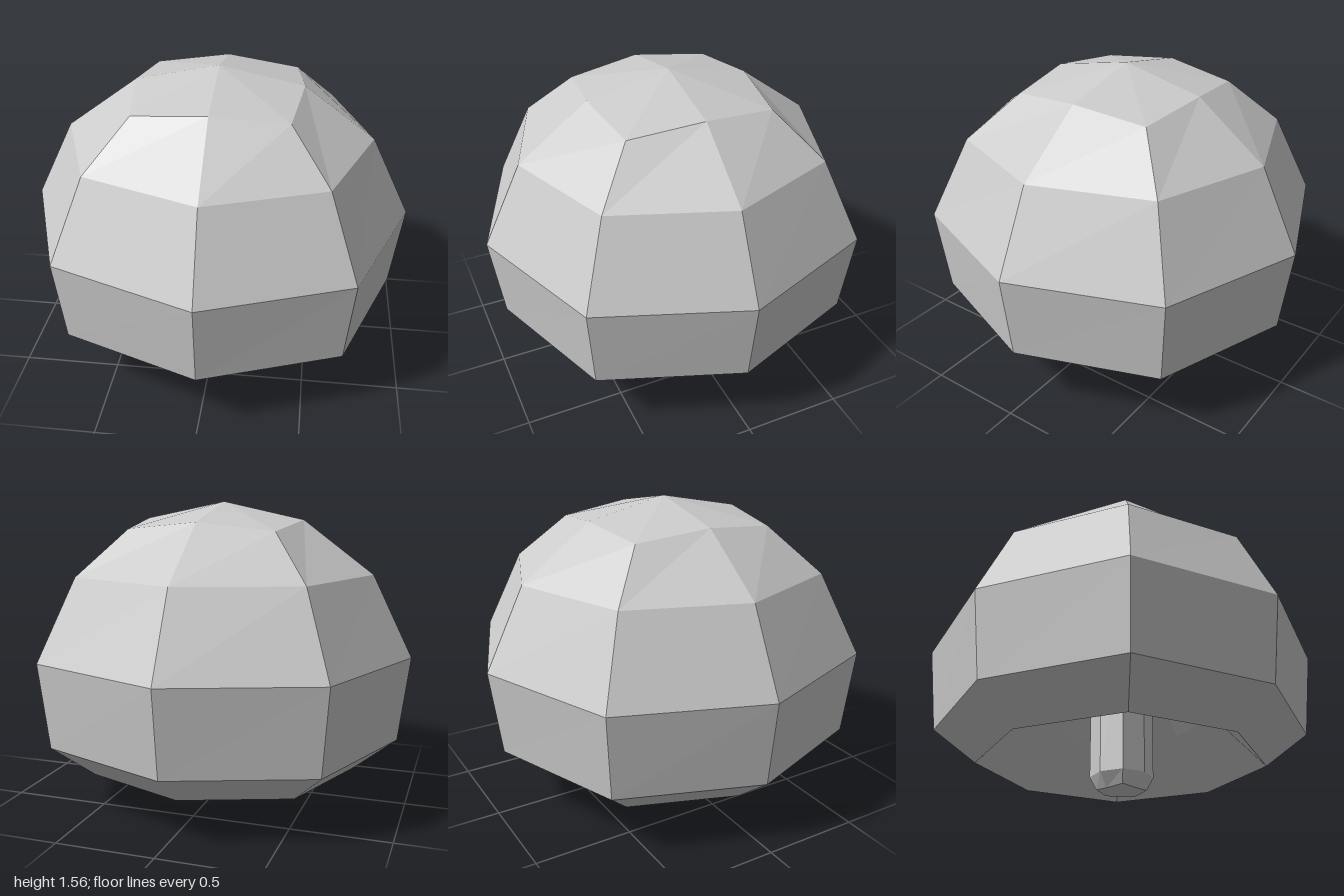
import * as THREE from 'three';

const material = new THREE.MeshStandardMaterial({ color: 0xcccccc, flatShading: true });

// Lofts eight-sided rings. Each ring is
// [y on the axes, radius on the axes, x = z of the diagonal corners, y of the diagonal corners].
// Rings run from the top downwards on the outside; radius 0 closes an end to a point.
function loftRings(name, rings) {
  const corner = (ring, k) => {
    const [y, axis, diagonal, diagonalY = y] = ring;
    const odd = k % 2 === 1;
    const radius = odd ? diagonal * Math.SQRT2 : axis;
    const angle = (k * Math.PI) / 4;
    return [radius * Math.cos(angle), odd ? diagonalY : y, radius * Math.sin(angle)];
  };
  const positions = [];
  for (let i = 0; i < rings.length - 1; i++) {
    const upper = rings[i];
    const lower = rings[i + 1];
    for (let k = 0; k < 8; k++) {
      const a = corner(upper, k), b = corner(upper, k + 1);
      const c = corner(lower, k + 1), d = corner(lower, k);
      if (upper[1] > 0) positions.push(...a, ...b, ...c);
      if (lower[1] > 0) positions.push(...a, ...c, ...d);
    }
  }
  const geometry = new THREE.BufferGeometry();
  geometry.setAttribute('position', new THREE.Float32BufferAttribute(positions, 3));
  geometry.computeVertexNormals();
  const mesh = new THREE.Mesh(geometry, material);
  mesh.name = name;
  return mesh;
}

export function createModel() {
  const model = new THREE.Group();
  model.name = 'mushroom';

  // Domed cap, turned under at the rim and hollowed out below
  model.add(loftRings('cap', [
    [1.56, 0, 0],
    [1.47, 0.43, 0.38, 1.43],
    [1.2, 0.795, 0.58],
    [0.785, 1, 0.727],
    [0.345, 0.945, 0.69],
    [0.17, 0.727, 0.53],
    [0.44, 0.465, 0.34],
    [0.76, 0.19, 0.14],
    [0.8, 0, 0],
  ]));

  // Slim stem with a rounded tip, rising into the hollow
  model.add(loftRings('stem', [
    [0.79, 0.157, 0.115],
    [0.1, 0.157, 0.115],
    [0.025, 0.11, 0.09, 0.035],
    [0, 0, 0],
  ]));

  return model;
}
